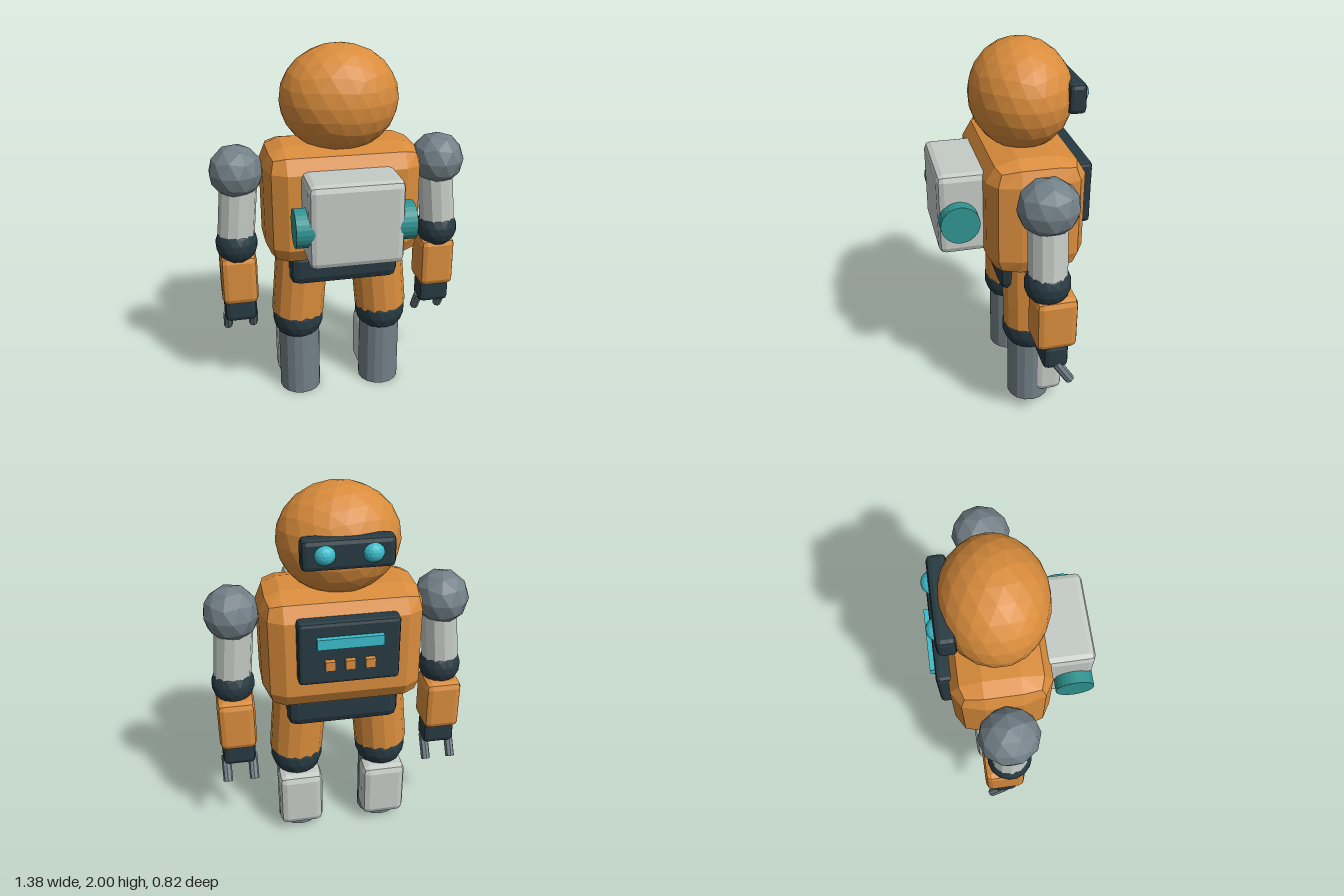
import * as THREE from 'three';
import { RoundedBoxGeometry } from 'three/addons/geometries/RoundedBoxGeometry.js';

const paint = (name, color) => {
  const m = new THREE.MeshStandardMaterial({ color });
  m.name = name;
  return m;
};

export function createModel() {
  const orange = paint('orange', 0xd98c3c);
  const dark = paint('darkSlate', 0x273a42);
  const grey = paint('steelGrey', 0x728087);
  const white = paint('paleGrey', 0xc5cbc7);
  const teal = paint('teal', 0x2f9391);
  const cyan = paint('cyan', 0x3bbccb);

  const robot = new THREE.Group();
  robot.name = 'robot';

  // Faceted mesh: every face gets its own normal
  function add(parent, name, geometry, material, x, y, z) {
    const flat = geometry.index ? geometry.toNonIndexed() : geometry;
    flat.computeVertexNormals();
    const mesh = new THREE.Mesh(flat, material);
    mesh.name = name;
    mesh.position.set(x, y, z);
    parent.add(mesh);
    return mesh;
  }

  // Box with a two-step bevel
  const box = (w, h, d, bevel) => new RoundedBoxGeometry(w, h, d, 1, bevel);

  // Icosphere with a vertex at the top, stretched per axis
  function ball(rx, ry, rz, detail) {
    const g = new THREE.IcosahedronGeometry(1, detail);
    g.rotateZ(-Math.atan(2 / (1 + Math.sqrt(5))));
    return g.scale(rx, ry, rz);
  }

  // Cylinder between two points
  function rod(parent, name, material, from, to, radius, sides) {
    const a = new THREE.Vector3(...from), b = new THREE.Vector3(...to);
    const dir = b.clone().sub(a);
    const g = new THREE.CylinderGeometry(radius, radius, dir.length(), sides);
    const mid = a.clone().add(b).multiplyScalar(0.5);
    const mesh = add(parent, name, g, material, mid.x, mid.y, mid.z);
    mesh.quaternion.setFromUnitVectors(new THREE.Vector3(0, 1, 0), dir.normalize());
    return mesh;
  }

  // Torso and pelvis
  const torso = box(0.84, 0.63, 0.348, 0.11).scale(1, 1, 1.45);
  add(robot, 'torso', torso, orange, 0, 1.187, -0.073);
  add(robot, 'pelvis', box(0.6, 0.2, 0.35, 0.05), dark, 0, 0.83, -0.07);

  // Head with visor and eyes
  add(robot, 'head', ball(0.313, 0.28, 0.265, 3), orange, 0, 1.72, -0.067);
  add(robot, 'visor', box(0.45, 0.155, 0.095, 0.025), dark, 0, 1.738, -0.303);

  // Chest panel with display and buttons
  add(robot, 'chestPanel', box(0.51, 0.34, 0.09, 0.02), dark, 0, 1.245, -0.34);
  add(robot, 'display', new THREE.BoxGeometry(0.33, 0.055, 0.05), cyan, 0, 1.313, -0.387);
  for (const x of [-0.1, 0, 0.1]) {
    add(robot, 'button', new THREE.BoxGeometry(0.05, 0.05, 0.05), orange, x, 1.19, -0.387);
  }

  // Backpack
  add(robot, 'backpack', box(0.485, 0.44, 0.27, 0.035), white, 0, 1.19, 0.272);

  for (const s of [-1, 1]) {
    add(robot, 'eye', ball(0.052, 0.05, 0.045, 2), cyan, s * 0.115, 1.742, -0.342);
    rod(robot, 'backpackTank', teal, [s * 0.19, 1.168, 0.305], [s * 0.305, 1.168, 0.305], 0.1, 24);

    // Arm
    const arm = new THREE.Group();
    arm.name = s > 0 ? 'leftArm' : 'rightArm';
    robot.add(arm);
    add(arm, 'shoulder', ball(0.145, 0.145, 0.155, 1), grey, s * 0.55, 1.357, -0.07);
    rod(arm, 'upperArm', white, [s * 0.537, 1.33, -0.07], [s * 0.573, 0.94, -0.07], 0.1, 12);
    add(arm, 'elbow', ball(0.115, 0.115, 0.118, 2), dark, s * 0.568, 0.95, -0.07);
    add(arm, 'forearm', box(0.2, 0.29, 0.215, 0.035), orange, s * 0.566, 0.742, -0.103);
    add(arm, 'hand', box(0.18, 0.15, 0.135, 0.03), dark, s * 0.567, 0.545, -0.103);
    for (const side of [-1, 1]) {
      const x = s * 0.567 + side * 0.073;
      rod(arm, 'finger', grey, [x, 0.5, -0.105], [x, 0.377, -0.183], 0.026, 8);
    }

    // Leg
    const leg = new THREE.Group();
    leg.name = s > 0 ? 'leftLeg' : 'rightLeg';
    robot.add(leg);
    rod(leg, 'thigh', orange, [s * 0.212, 0.86, -0.07], [s * 0.244, 0.5, -0.07], 0.147, 14);
    add(leg, 'knee', ball(0.145, 0.148, 0.152, 2), dark, s * 0.242, 0.47, -0.07);
    rod(leg, 'shin', grey, [s * 0.238, 0, -0.066], [s * 0.238, 0.45, -0.066], 0.118, 16);
    add(leg, 'shinGuard', box(0.245, 0.335, 0.16, 0.04), white, s * 0.238, 0.217, -0.16);
  }

  return robot;
}
